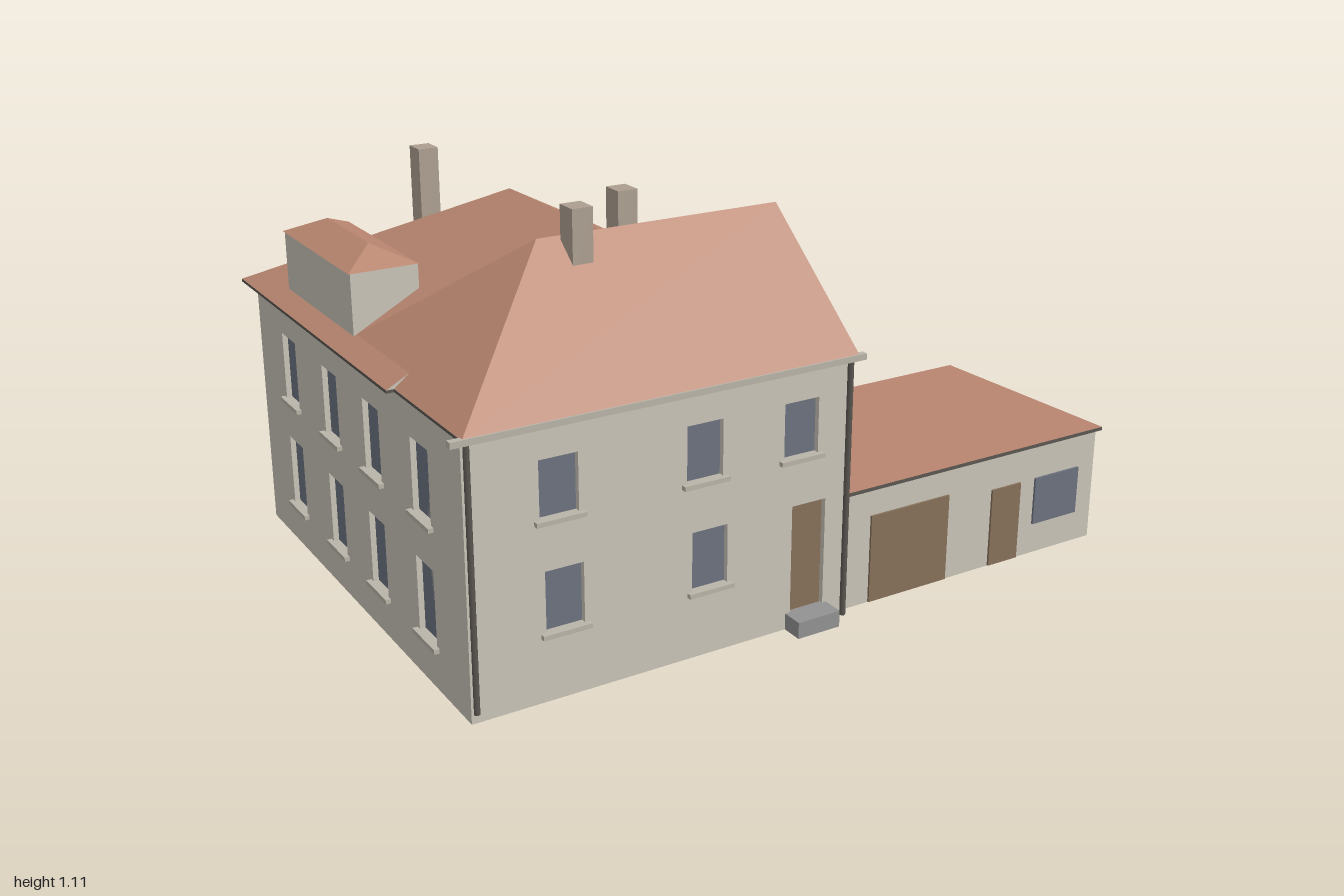
import * as THREE from 'three';

const mat = (name, color, side = THREE.FrontSide) => {
  const m = new THREE.MeshStandardMaterial({ color, side });
  m.name = name;
  return m;
};

export function createModel() {
  const house = new THREE.Group();
  house.name = 'house';

  const wall = mat('plaster', 0xc8c3b7);
  const tile = mat('roof tile', 0xb98670, THREE.DoubleSide);
  const dark = mat('dark trim', 0x5a5651);
  const glass = mat('window glass', 0x6c727f);
  const wood = mat('door wood', 0x86705a);
  const brick = mat('chimney brick', 0xad9f91);
  const stone = mat('step stone', 0x929292);
  const sillMat = mat('sill stone', 0xb9b4a8);

  const add = (name, geometry, material, parent = house) => {
    const mesh = new THREE.Mesh(geometry, material);
    mesh.name = name;
    parent.add(mesh);
    return mesh;
  };

  // Box given by its limits on each axis
  const box = (name, [x0, x1], [y0, y1], [z0, z1], material, parent = house) => {
    const mesh = add(name, new THREE.BoxGeometry(x1 - x0, y1 - y0, z1 - z0), material, parent);
    mesh.position.set((x0 + x1) / 2, (y0 + y1) / 2, (z0 + z1) / 2);
    return mesh;
  };

  // Hipped or gabled roof: corners counterclockwise from above, r0 over edge ab, r1 over edge cd
  const roof = (name, corners, y0, r0, r1, y1, endMaterial = tile) => {
    const [a, b, c, d] = corners.map(([x, z]) => [x, y0, z]);
    const p = [r0[0], y1, r0[1]], q = [r1[0], y1, r1[1]];
    const triangles = [a, b, p, b, c, q, b, q, p, d, a, p, d, p, q, c, d, q];
    const geometry = new THREE.BufferGeometry();
    geometry.setAttribute('position', new THREE.Float32BufferAttribute(triangles.flat(), 3));
    geometry.addGroup(0, 15, 0);
    geometry.addGroup(15, 3, 1);
    geometry.computeVertexNormals();
    return add(name, geometry, [tile, endMaterial]);
  };

  // Wall panel facing local +z, with recessed openings [centre, bottom, top, kind]
  const THICK = 0.02;
  const panel = (name, x0, x1, openings) => {
    const group = new THREE.Group();
    group.name = name;
    house.add(group);
    const shape = new THREE.Shape();
    shape.moveTo(x0, 0).lineTo(x1, 0).lineTo(x1, 0.715).lineTo(x0, 0.715).closePath();
    for (const [cx, y0, y1, kind] of openings) {
      const l = cx - 0.051, r = cx + 0.051;
      const hole = new THREE.Path();
      hole.moveTo(l, y0).lineTo(l, y1).lineTo(r, y1).lineTo(r, y0).closePath();
      shape.holes.push(hole);
      const isDoor = kind === 'door';
      box(isDoor ? 'frontDoor' : 'windowPane', [l, r], [y0, y1], [0, 0.005], isDoor ? wood : glass, group);
      if (!isDoor) {
        box('windowSill', [cx - 0.065, cx + 0.065], [y0 - 0.01, y0 + 0.002], [0.003, THICK + 0.014], sillMat, group);
      }
    }
    add('wallPanel', new THREE.ExtrudeGeometry(shape, { depth: THICK, bevelEnabled: false }), wall, group);
    return group;
  };

  // Main walls
  box('frontBlock', [-0.945, 0.1], [0.003, 0.715], [0.3, 0.65], wall);
  box('backBlock', [-0.94, 0.147], [0.003, 0.715], [-0.69, 0.33], wall);
  box('frontFooting', [-0.945, 0.098], [0, 0.004], [0.33, 0.655], stone);
  box('backFooting', [-0.945, 0.145], [0, 0.004], [-0.688, 0.33], stone);

  const front = panel('frontWall', -0.945, 0.1, [
    [-0.72, 0.47, 0.62], [-0.325, 0.47, 0.62], [-0.043, 0.47, 0.62],
    [-0.71, 0.18, 0.34], [-0.31, 0.18, 0.34], [-0.015, 0.04, 0.34, 'door'],
  ]);
  front.position.z = 0.65;

  const sideOpenings = [];
  for (const z of [-0.45, -0.145, 0.137, 0.435]) {
    sideOpenings.push([z, 0.43, 0.62], [z, 0.115, 0.315]);
  }
  const side = panel('rightSideWall', -0.69, 0.67, sideOpenings);
  side.rotation.y = -Math.PI / 2;
  side.position.x = -0.94;

  // Main roofs, crossing at the ridge
  roof('backRoof', [[0.15, -0.73], [-0.99, -0.73], [-0.99, 0.33], [0.15, 0.33]], 0.722,
    [-0.42, -0.16], [-0.42, 0.33], 1.03, wall);
  roof('frontRoof', [[-0.97, -0.04], [-0.97, 0.705], [0.102, 0.705], [0.102, -0.04]], 0.722,
    [-0.59, 0.33], [0.102, 0.33], 1.03, wall);
  box('backEaves', [-0.99, 0.15], [0.714, 0.722], [-0.73, 0.33], dark);
  box('frontEaves', [-0.97, 0.1], [0.714, 0.721], [0.3, 0.703], dark);

  // Gutter and downpipes
  box('gutter', [-1, 0.122], [0.708, 0.724], [0.69, 0.708], sillMat);
  for (const [x, y0] of [[-0.95, 0.03], [0.095, 0]]) {
    const pipe = add('downpipe', new THREE.CylinderGeometry(0.008, 0.008, 0.71 - y0, 8), dark);
    pipe.position.set(x, (0.71 + y0) / 2, 0.68);
  }

  // Dormer
  box('dormerWalls', [-0.938, -0.757], [0.735, 0.912], [-0.478, -0.002], wall);
  roof('dormerRoof', [[-0.755, -0.48], [-0.943, -0.48], [-0.943, 0], [-0.755, 0]], 0.912,
    [-0.85, -0.385], [-0.85, -0.095], 0.957);

  // Chimneys: x, z, bottom, top
  for (const [x, z, y0, y1] of [[-0.502, 0.37, 0.93, 1.11], [-0.283, 0.203, 0.88, 1.09], [-0.55, -0.42, 0.82, 1.11]]) {
    box('chimney', [x - 0.028, x + 0.028], [y0, y1], [z - 0.031, z + 0.031], brick);
  }

  // Front step
  box('doorStep', [-0.08, 0.048], [0, 0.045], [0.66, 0.73], stone);

  // Annex with a gently sloping roof, lower at the back
  const annex = box('annexWalls', [0.1, 0.983], [0, 0.308], [0.027, 0.66], wall);
  const pos = annex.geometry.attributes.position;
  for (let i = 0; i < pos.count; i++) {
    if (pos.getY(i) > 0 && pos.getZ(i) > 0) pos.setY(i, pos.getY(i) + 0.015);
  }
  const annexRoof = box('annexRoof', [0.1, 1], [0.316, 0.326], [0.01, 0.667], [dark, dark, tile, dark, dark, dark]);
  annexRoof.rotation.x = -0.023;

  // Annex doors and window
  box('garageDoor', [0.192, 0.452], [0.002, 0.25], [0.66, 0.666], wood);
  box('annexDoor', [0.606, 0.708], [0.002, 0.228], [0.66, 0.666], wood);
  box('annexWindow', [0.762, 0.922], [0.09, 0.228], [0.66, 0.666], glass);

  return house;
}
